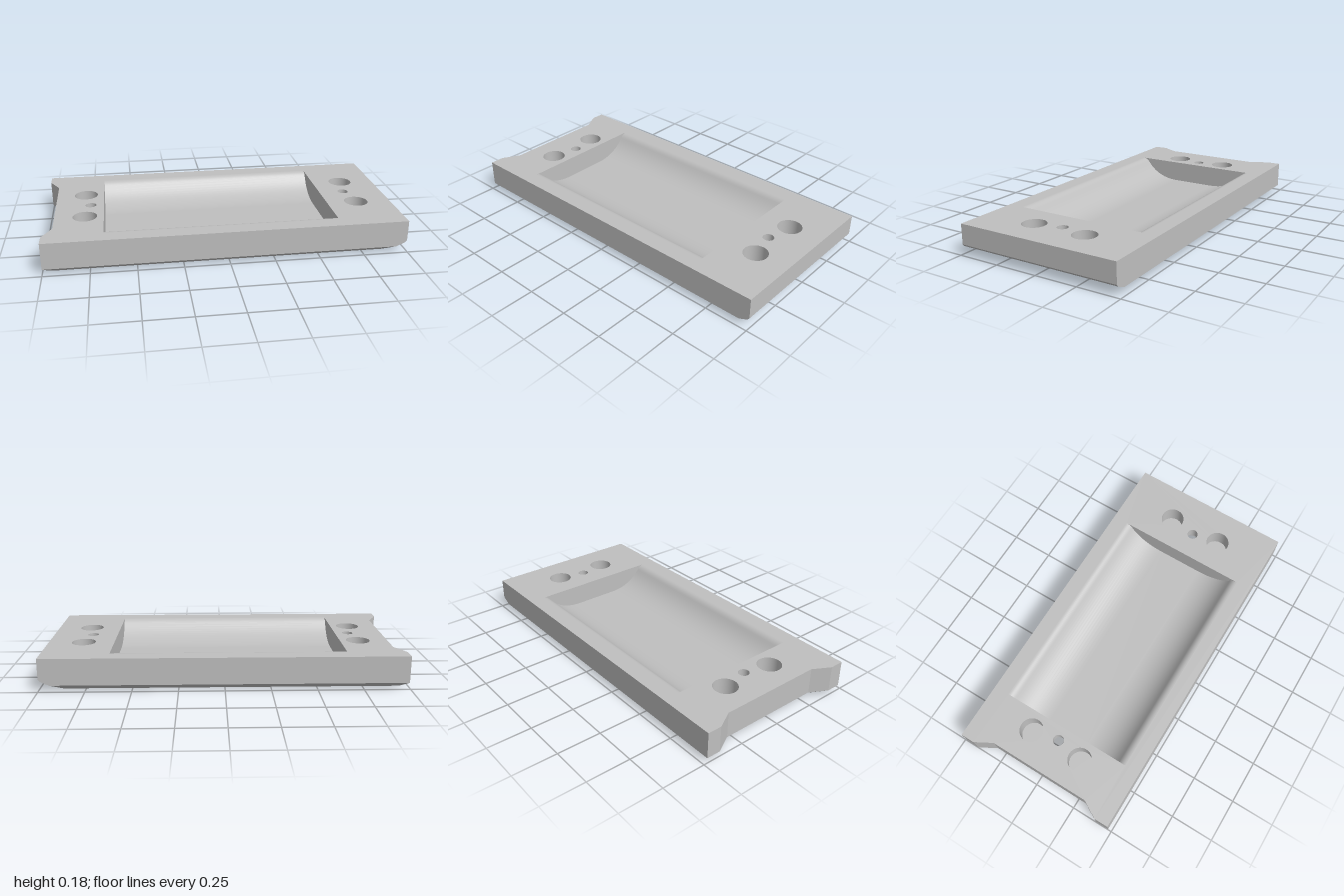
import * as THREE from 'three';

const TOP = 0.18;
const FLOOR = 0.055;

// Plan outline of the slab: right x, half depth, inset of the notched left end
function outline(xr, zh, inset) {
  const half = [
    [xr, zh],
    [-1 + inset, zh],
    [-1 + inset, 0.4 - inset * 0.25],
    [-0.945 + inset, 0.3 - inset * 0.25],
  ];
  return [...half, ...half.map(([x, z]) => [x, -z]).reverse()];
}

// Heights and outlines from the underside to the top face
const RINGS = [
  [0, 0.87, 0.44, 0.05],
  [0.03, 0.94, 0.48, 0],
  [0.043, 0.97, 0.48, 0],
  [0.053, 0.99, 0.48, 0],
  [0.065, 1, 0.48, 0],
  [TOP, 1, 0.48, 0],
].map(([y, xr, zh, d]) => ({ y, pts: outline(xr, zh, d) }));

function sidesGeometry() {
  const pos = [];
  for (let i = 0; i < RINGS.length - 1; i++) {
    const lo = RINGS[i], hi = RINGS[i + 1];
    lo.pts.forEach((p, j) => {
      const k = (j + 1) % lo.pts.length;
      const a = [p[0], lo.y, p[1]];
      const b = [lo.pts[k][0], lo.y, lo.pts[k][1]];
      const c = [hi.pts[k][0], hi.y, hi.pts[k][1]];
      const d = [hi.pts[j][0], hi.y, hi.pts[j][1]];
      pos.push(...a, ...c, ...b, ...a, ...d, ...c);
    });
  }
  const g = new THREE.BufferGeometry();
  g.setAttribute('position', new THREE.Float32BufferAttribute(pos, 3));
  g.computeVertexNormals();
  return g;
}

const circle = (x, z, r) => new THREE.Path().absarc(x, -z, r, 0, Math.PI * 2, true);

function faceShape(ring, holes) {
  const s = new THREE.Shape(ring.pts.map(([x, z]) => new THREE.Vector2(x, -z)));
  s.holes.push(...holes);
  return new THREE.ShapeGeometry(s, 24);
}

// Half profile of the trough (z, y): flat floor, rising curve, rounded lip
function troughProfile() {
  const v = (x, y) => new THREE.Vector2(x, y);
  const rise = new THREE.QuadraticBezierCurve(v(0.13, FLOOR), v(0.27, FLOOR), v(0.345, 0.152));
  const lip = new THREE.QuadraticBezierCurve(v(0.345, 0.152), v(0.365, TOP), v(0.39, TOP));
  const half = [...rise.getPoints(14), ...lip.getPoints(8).slice(1)];
  return [...half.map((p) => v(-p.x, p.y)).reverse(), ...half];
}

export function createModel() {
  const group = new THREE.Group();
  const grey = new THREE.MeshStandardMaterial({ color: 0xbfbfbf, side: THREE.DoubleSide });
  grey.name = 'grey';
  const add = (name, geo, x = 0, y = 0, z = 0, parent = group) => {
    const m = new THREE.Mesh(geo, grey);
    m.name = name;
    m.position.set(x, y, z);
    parent.add(m);
    return m;
  };

  // Revolved hole, one crisp band per profile step, listed from top to bottom
  const addHole = (name, x, z, profile) => {
    const hole = new THREE.Group();
    hole.name = name;
    group.add(hole);
    for (let i = 0; i < profile.length - 1; i++) {
      const pts = [profile[i], profile[i + 1]].map(([r, y]) => new THREE.Vector2(r, y));
      add(name + 'Band', new THREE.LatheGeometry(pts, 48), x, 0, z, hole);
    }
  };

  const pocketL = -0.67, pocketR = 0.625;
  const screwX = [-0.745, 0.77];
  const blind = [-0.775, 0.8].flatMap((x) => [[x, 0.16], [x, -0.16]]);

  // Slab shell
  add('sides', sidesGeometry());
  const pocket = new THREE.Path([
    [pocketL, -0.39], [pocketL, 0.39], [pocketR, 0.39], [pocketR, -0.39],
  ].map(([x, y]) => new THREE.Vector2(x, y)));
  const topHoles = [
    pocket,
    ...blind.map(([x, z]) => circle(x, z, 0.068)),
    ...screwX.map((x) => circle(x, 0, 0.031)),
  ];
  add('topFace', faceShape(RINGS.at(-1), topHoles).rotateX(-Math.PI / 2), 0, TOP);
  const underHoles = screwX.map((x) => circle(x, 0, 0.1));
  add('underside', faceShape(RINGS[0], underHoles).rotateX(Math.PI / 2));

  // Blind round sockets and countersunk through holes
  blind.forEach(([x, z]) => addHole('socket', x, z, [[0.068, TOP], [0.068, 0.07], [0, 0.07]]));
  screwX.forEach((x) => addHole('screwHole', x, 0,
    [[0.031, TOP], [0.031, 0.12], [0.073, 0.12], [0.073, 0.03], [0.1, 0]]));

  // Trough: a plane bent along the profile, with flat end walls
  const profile = troughProfile();
  const trough = new THREE.PlaneGeometry(pocketR - pocketL, 1, 1, profile.length - 1).rotateX(-Math.PI / 2);
  const p = trough.attributes.position;
  for (let i = 0; i < p.count; i++) {
    const q = profile[Math.floor(i / 2)];
    p.setY(i, q.y);
    p.setZ(i, q.x);
  }
  trough.computeVertexNormals();
  add('trough', trough, (pocketL + pocketR) / 2);
  const wall = new THREE.ShapeGeometry(new THREE.Shape(profile));
  add('troughLeftWall', wall.clone().rotateY(Math.PI / 2), pocketL);
  add('troughRightWall', wall.clone().rotateY(-Math.PI / 2), pocketR);

  return group;
}
